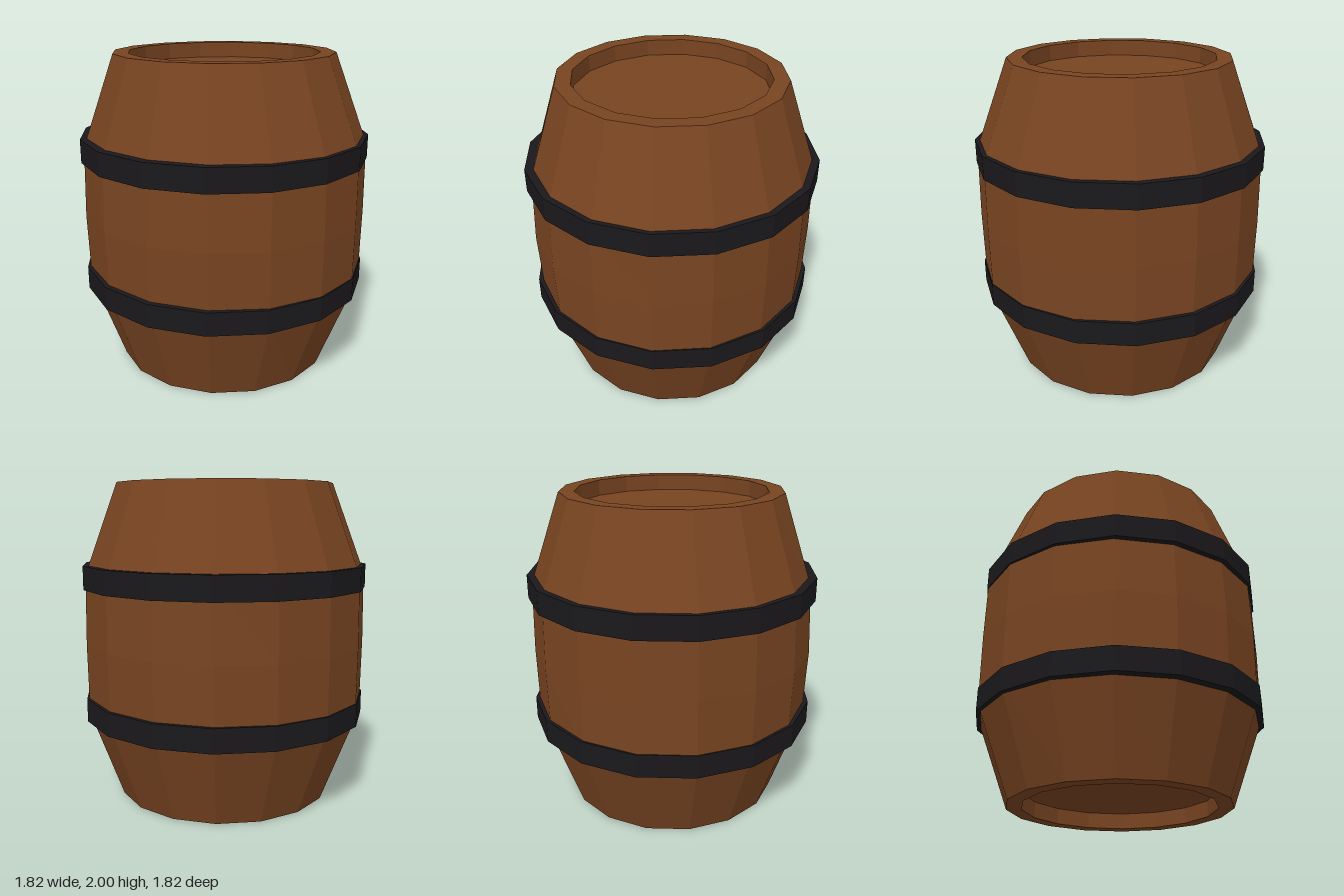
import * as THREE from 'three';

const SIDES = 16;

// Faceted solid of revolution from [radius, height] pairs, outer side running upwards
function lathe(name, profile, material) {
  const points = profile.map(([r, y]) => new THREE.Vector2(r, y));
  const mesh = new THREE.Mesh(new THREE.LatheGeometry(points, SIDES), material);
  mesh.name = name;
  return mesh;
}

export function createModel() {
  const wood = new THREE.MeshStandardMaterial({ color: 0x784421, flatShading: true });
  const iron = new THREE.MeshStandardMaterial({ color: 0x1a181b, flatShading: true });
  const barrel = new THREE.Group();
  barrel.name = 'barrel';

  // Wooden body with a recessed head at each end
  const body = lathe('body', [
    [0, 0.1], [0.595, 0.1], [0.595, 0], [0.69, 0],
    [0.905, 0.56], [0.91, 1], [0.905, 1.44],
    [0.69, 2], [0.595, 2], [0.595, 1.9], [0, 1.9],
  ], wood);

  // The bulge is slightly shallower from front to back than from side to side
  const pos = body.geometry.attributes.position;
  for (let i = 0; i < pos.count; i++) {
    const x = pos.getX(i), y = pos.getY(i), z = pos.getZ(i);
    if (Math.hypot(x, z) < 0.8) continue;
    const squeeze = Math.abs(y - 1) < 0.1 ? 0.982 : z > 0 ? 0.964 : 0.977;
    pos.setZ(i, z * squeeze);
  }
  body.geometry.computeVertexNormals();
  barrel.add(body);

  // Iron hoops
  for (const [name, y] of [['lowerHoop', 0.51], ['upperHoop', 1.347]]) {
    const top = y + 0.147;
    barrel.add(lathe(name, [[0.82, y], [0.912, y], [0.912, top], [0.82, top], [0.82, y]], iron));
  }
  return barrel;
}
